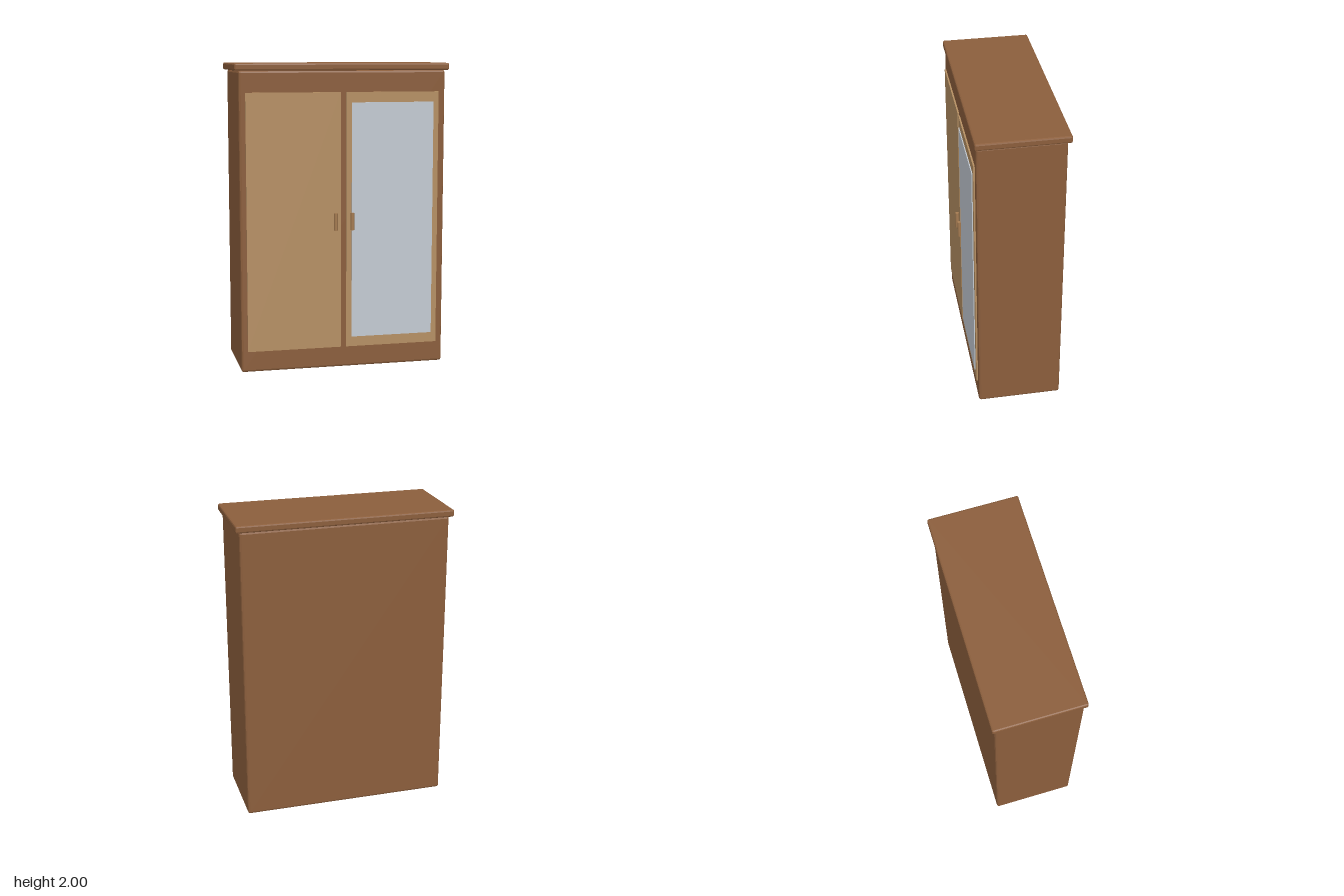
import * as THREE from 'three';
import { RoundedBoxGeometry } from 'three/addons/geometries/RoundedBoxGeometry.js';

function material(name, color) {
  const m = new THREE.MeshStandardMaterial({ color });
  m.name = name;
  return m;
}

export function createModel() {
  const group = new THREE.Group();
  group.name = 'wardrobe';

  const wood = material('dark wood', 0x8b5e3c);
  const doorWood = material('light wood', 0xb58f63);
  const glass = material('mirror glass', 0xc3cad2);
  const handleWood = material('handle wood', 0xa67c52);

  function add(name, geometry, mat) {
    const mesh = new THREE.Mesh(geometry, mat);
    mesh.name = name;
    group.add(mesh);
    return mesh;
  }

  // Box given by its two opposite corners; a bevel chamfers every edge
  function box(name, mat, [x0, y0, z0], [x1, y1, z1], bevel = 0) {
    const size = [x1 - x0, y1 - y0, z1 - z0];
    const geometry = bevel
      ? new RoundedBoxGeometry(...size, 1, bevel)
      : new THREE.BoxGeometry(...size);
    if (bevel) geometry.computeVertexNormals();
    add(name, geometry, mat).position.set((x0 + x1) / 2, (y0 + y1) / 2, (z0 + z1) / 2);
  }

  // Carcass and overhanging top
  box('cabinet', wood, [-0.665, 0.045, -0.275], [0.665, 1.955, 0.26], 0.014);
  box('topBoard', wood, [-0.69, 1.955, -0.295], [0.69, 2, 0.27], 0.01);

  // Doors, with a mirror on the model's left one
  box('rightDoor', doorWood, [-0.625, 0.18, 0.25], [-0.02, 1.82, 0.27]);
  box('leftDoor', doorWood, [0.015, 0.18, 0.25], [0.62, 1.82, 0.27]);
  box('mirror', glass, [0.05, 0.245, 0.268], [0.585, 1.755, 0.276]);

  // Upright handles
  for (const [name, x] of [['rightHandle', -0.056], ['leftHandle', 0.052]]) {
    const geometry = new THREE.CylinderGeometry(0.012, 0.012, 0.11, 8);
    add(name, geometry, handleWood).position.set(x, 1, 0.284);
  }

  // Short round feet, one under each end
  for (const [name, x] of [['rightFoot', -0.58], ['leftFoot', 0.577]]) {
    const geometry = new THREE.CylinderGeometry(0.032, 0.032, 0.06, 8);
    add(name, geometry, wood).position.set(x, 0.03, -0.01);
  }

  return group;
}
